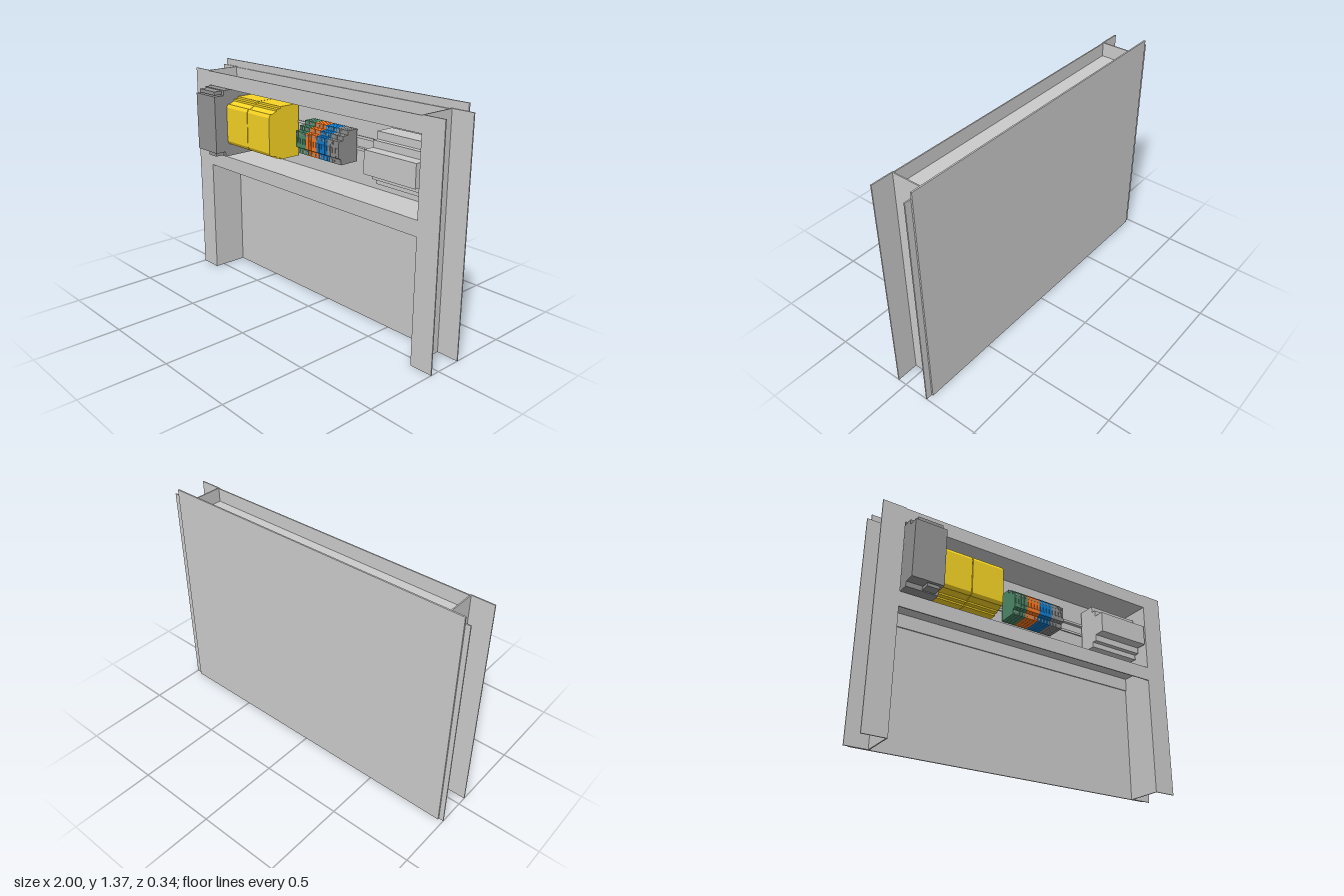
import * as THREE from 'three';

const mat = (color) => new THREE.MeshStandardMaterial({ color });
const GREY = mat(0xcccccc), DARK = mat(0x969696), YELLOW = mat(0xf8d424);
const GREEN = mat(0x4f8b6a), ORANGE = mat(0xff7a20), BLUE = mat(0x107dce), MID = mat(0x909090);

const BACK = -0.16;      // rear of the frame
const FRONT = 0.06;      // front of the frame
const SEAT = -0.14;      // where the devices sit on the rail
const T = 0.007;         // sheet thickness

// Box given by its limits on each axis
function box(parent, name, material, [x0, x1], [y0, y1], [z0, z1]) {
  const geo = new THREE.BoxGeometry(x1 - x0, y1 - y0, z1 - z0);
  geo.translate((x0 + x1) / 2, (y0 + y1) / 2, (z0 + z1) / 2);
  const mesh = new THREE.Mesh(geo, material);
  mesh.name = name;
  parent.add(mesh);
  return mesh;
}

// Side profile of [z, y] points swept from x0 to x1
function sweep(parent, name, material, points, x0, x1) {
  const shape = new THREE.Shape(points.map(([z, y]) => new THREE.Vector2(z, y)));
  const geo = new THREE.ExtrudeGeometry(shape, { depth: x1 - x0, bevelEnabled: false });
  geo.rotateY(-Math.PI / 2).translate(x1, 0, 0);
  const mesh = new THREE.Mesh(geo, material);
  mesh.name = name;
  parent.add(mesh);
  return mesh;
}

function group(parent, name) {
  const g = new THREE.Group();
  g.name = name;
  parent.add(g);
  return g;
}

// Channel post, open towards the outside
function post(parent, side) {
  const g = group(parent, side > 0 ? 'leftPost' : 'rightPost');
  const span = (a, b) => (side > 0 ? [a, b] : [-b, -a]);
  box(g, 'web', GREY, span(0.862, 0.869), [0, 1.33], [BACK, FRONT]);
  box(g, 'frontFlange', GREY, span(0.869, 1), [0, 1.33], [FRONT - T, FRONT]);
  box(g, 'rearFlange', GREY, span(0.869, 1), [0, 1.33], [BACK, BACK + T]);
}

// Cross channel: web at y, flanges pointing in direction dir
function beam(parent, name, y, dir) {
  const end = y + dir * 0.088, inner = y + dir * T;
  sweep(parent, name, GREY, [
    [BACK, y], [FRONT, y], [FRONT, end], [FRONT - T, end],
    [FRONT - T, inner], [BACK + T, inner], [BACK + T, end], [BACK, end],
  ], -0.862, 0.862);
}

// Row of thin clamps in one colour, with wire entries on the steps
function clampRow(parent, name, material, x0, x1) {
  const g = group(parent, name), n = 4, pitch = (x1 - x0) / n;
  const profile = [
    [SEAT, 0.935], [-0.02, 0.935], [-0.02, 0.965], [0, 0.975], [0, 1.07],
    [-0.03, 1.07], [-0.03, 1.095], [-0.07, 1.095], [-0.07, 1.12], [SEAT, 1.12],
  ];
  for (let i = 0; i < n; i++) {
    const a = x0 + i * pitch;
    sweep(g, 'clamp', material, profile, a, a + pitch - 0.0015);
    const entry = [a + 0.006, a + pitch - 0.007];
    for (const [y, z] of [[1.108, -0.07], [1.083, -0.03], [1.055, 0], [0.95, -0.02]])
      box(g, 'wireEntry', MID, entry, [y - 0.006, y + 0.006], [z, z + 0.001]);
    box(g, 'marker', material, [a + 0.004, a + pitch - 0.005], [1.0, 1.03], [0, 0.003]);
  }
}

export function createModel() {
  const model = new THREE.Group();
  model.name = 'controlPanel';

  // Frame
  box(model, 'backPanel', GREY, [-0.972, 0.962], [0, 1.37], [-0.169, BACK]);
  for (const side of [1, -1]) post(model, side);
  beam(model, 'upperBeam', 1.238, 1);
  beam(model, 'lowerBeam', 0.805, -1);

  // Hat-section mounting rail
  sweep(model, 'mountingRail', GREY, [
    [-0.16, 1.014], [-0.14, 1.014], [-0.14, 1.003], [-0.136, 1.003], [-0.136, 1.018], [-0.156, 1.018],
    [-0.156, 1.072], [-0.136, 1.072], [-0.136, 1.087], [-0.14, 1.087], [-0.14, 1.076], [-0.16, 1.076],
  ], -0.862, 0.862);

  // Power supply
  const supply = group(model, 'powerSupply');
  box(supply, 'body', DARK, [-0.85, -0.66], [0.82, 1.235], [SEAT, 0.1]);
  box(supply, 'cover', DARK, [-0.85, -0.66], [0.85, 1.203], [0.1, 0.168]);
  box(supply, 'upperConnector', DARK, [-0.83, -0.68], [1.208, 1.23], [0.1, 0.155]);
  box(supply, 'lowerConnector', DARK, [-0.755, -0.68], [0.826, 0.845], [0.1, 0.158]);

  // Two relays with stepped, sloping housings
  for (const x of [-0.652, -0.446])
    sweep(model, 'relay', YELLOW, [
      [SEAT, 0.87], [0, 0.87], [0, 0.88], [0.03, 0.88], [0.03, 0.89], [0.06, 0.9], [0.075, 0.9],
      [0.086, 0.92], [0.086, 1.13], [0.075, 1.15], [0.06, 1.15], [0.03, 1.163],
      [0.03, 1.175], [0, 1.175], [0, 1.187], [SEAT, 1.187],
    ], x, x + 0.202);

  // Terminal strip
  const strip = group(model, 'terminalStrip');
  [['greenClamps', GREEN], ['orangeClamps', ORANGE], ['blueClamps', BLUE], ['greyClamps', MID]]
    .forEach(([name, m], i) => clampRow(strip, name, m, -0.108 + i * 0.0885, -0.108 + (i + 1) * 0.0885));

  // Wide stepped module
  sweep(model, 'breakerModule', GREY, [
    [SEAT, 0.888], [-0.03, 0.888], [-0.03, 0.92], [0, 0.92], [0, 0.96], [0.066, 0.96],
    [0.066, 1.09], [0, 1.09], [0, 1.13], [-0.03, 1.13], [-0.03, 1.172], [SEAT, 1.172],
  ], 0.497, 0.845);

  return model;
}
